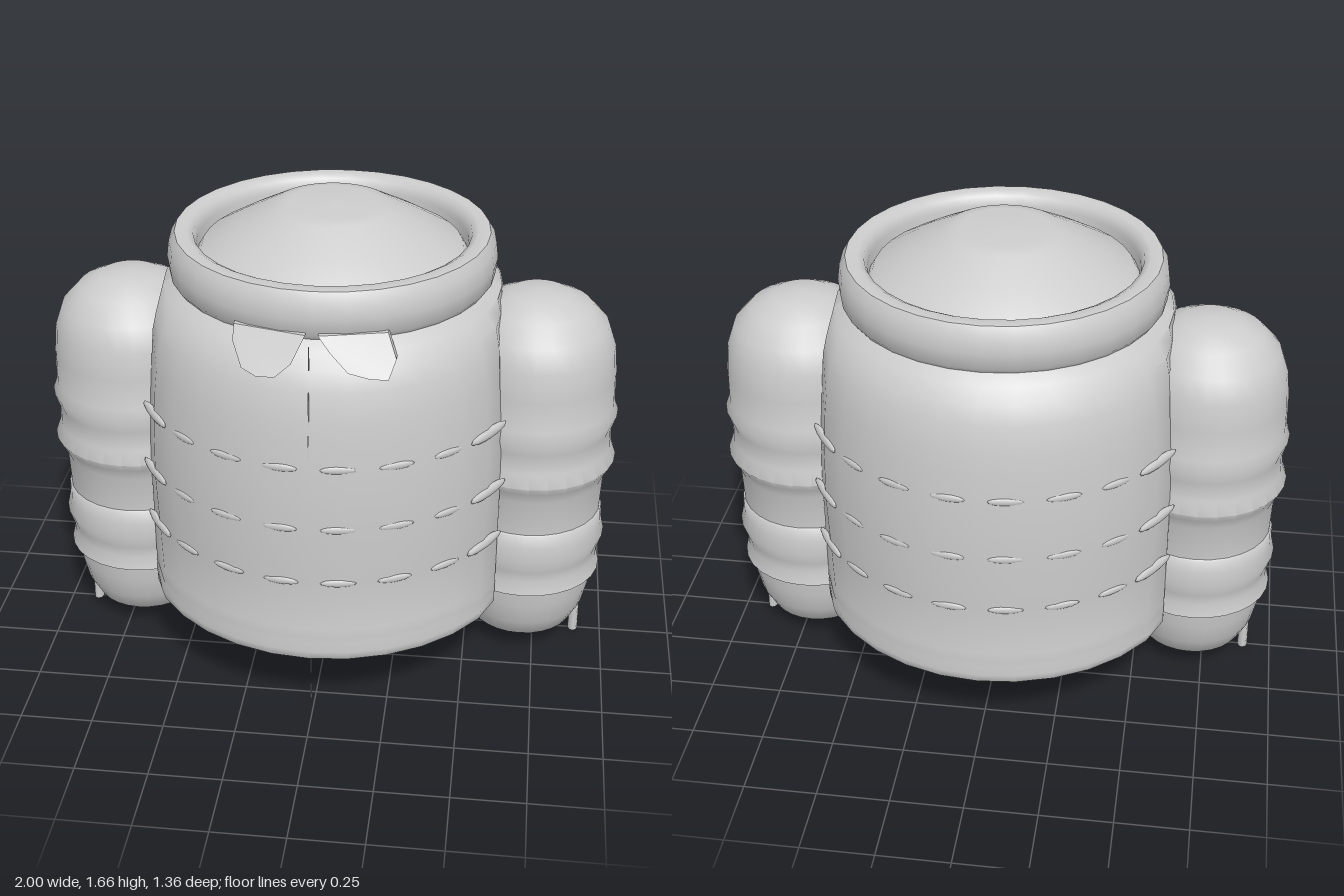
import * as THREE from 'three';
import { toCreasedNormals } from 'three/addons/utils/BufferGeometryUtils.js';

const fabric = new THREE.MeshStandardMaterial({ color: 0xcccccc });
fabric.name = 'paleGreyFabric';
fabric.side = THREE.DoubleSide;

function add(parent, name, geometry) {
  const mesh = new THREE.Mesh(geometry, fabric);
  mesh.name = name;
  parent.add(mesh);
  return mesh;
}

const lathe = (profile, sides) =>
  new THREE.LatheGeometry(profile.map(([r, y]) => new THREE.Vector2(r, y)), sides);

// Moves every vertex of a geometry by a rule
function bend(geometry, rule) {
  const p = geometry.attributes.position;
  const v = new THREE.Vector3();
  for (let i = 0; i < p.count; i++) {
    rule(v.fromBufferAttribute(p, i));
    p.setXYZ(i, v.x, v.y, v.z);
  }
  return toCreasedNormals(geometry, 0.7);
}

// Sides of the torso are flattened where the sleeves join
const sideLimit = (y) => 0.605 - (THREE.MathUtils.clamp(y, 0.9, 1.3) - 0.9) * 0.07;
const flatten = (v) => { v.x = THREE.MathUtils.clamp(v.x, -sideLimit(v.y), sideLimit(v.y)); };

function makeTorso() {
  const torso = new THREE.Group();
  torso.name = 'torso';
  add(torso, 'body', bend(lathe([
    [0.595, 0.315], [0.61, 0.272], [0.64, 0.272], [0.668, 0.292], [0.677, 0.325], [0.668, 0.355],
    [0.673, 0.38], [0.666, 0.41], [0.672, 0.6], [0.68, 0.8], [0.675, 0.98], [0.665, 1.12],
    [0.655, 1.2], [0.638, 1.29], [0.612, 1.35], [0.575, 1.4], [0.525, 1.435]], 32), flatten));
  const floor = new THREE.CircleGeometry(0.605, 32).rotateX(Math.PI / 2).translate(0, 0.305, 0);
  add(torso, 'bottomPanel', bend(floor, flatten));

  // Broken quilting ridges, longest and fullest beside the sleeves
  const count = 22;
  for (const [y, r] of [[0.6, 0.668], [0.81, 0.674], [1.03, 0.666]]) {
    for (let i = 0; i < count; i++) {
      const a = ((i + 0.5) / count) * Math.PI * 2;
      const facing = Math.abs(Math.cos(a));
      if (facing < 0.42) continue;
      const full = facing < 0.7;
      const ridge = add(torso, 'quiltRidge', new THREE.SphereGeometry(1, 12, 8));
      ridge.scale.set(full ? 0.1 : 0.06, full ? 0.02 : 0.014, full ? 0.014 : 0.008);
      ridge.position.set(Math.sin(a) * r, y, Math.cos(a) * r);
      ridge.rotation.y = a;
    }
  }
  return torso;
}

// Folded collar points, as seen from the front
const flaps = [
  [[-0.255, 1.455], [-0.255, 1.41], [-0.22, 1.345], [-0.17, 1.33], [-0.11, 1.335],
    [-0.06, 1.375], [-0.02, 1.455]],
  [[0.02, 1.455], [0.06, 1.41], [0.12, 1.355], [0.19, 1.335], [0.245, 1.328],
    [0.265, 1.38], [0.235, 1.455]]
];

function makeCollar() {
  const collar = new THREE.Group();
  collar.name = 'collar';
  add(collar, 'collarRing', toCreasedNormals(lathe([
    [0.5, 1.425], [0.535, 1.425], [0.55, 1.445], [0.557, 1.5], [0.55, 1.555], [0.53, 1.588],
    [0.49, 1.59], [0.468, 1.578], [0.458, 1.545], [0.455, 1.46]], 32), 0.8));
  add(collar, 'neckDome', lathe([
    [0.458, 1.5], [0.44, 1.53], [0.33, 1.595], [0.2, 1.665], [0.15, 1.675], [0, 1.68]], 36));

  // Flaps wrapped onto the chest
  for (const outline of flaps) {
    const shape = new THREE.Shape(outline.map(([x, y]) => new THREE.Vector2(x, y)));
    const flap = new THREE.ExtrudeGeometry(shape, { depth: 0.03, bevelEnabled: false });
    add(collar, 'collarFlap', bend(flap, (v) => {
      const r = 0.632 - (v.y - 1.33) * 0.6;
      v.z += Math.sqrt(r * r - v.x * v.x) - 0.018;
    }));
  }
  return collar;
}

function makeSleeve(side) {
  const sleeve = new THREE.Group();
  sleeve.name = side > 0 ? 'leftSleeve' : 'rightSleeve';
  sleeve.position.x = side * 0.703;
  // Rounded puffy tube with raised bands
  add(sleeve, 'puffySleeve', toCreasedNormals(lathe([
    [0, 0.045], [0.1, 0.06], [0.185, 0.11], [0.222, 0.18], [0.24, 0.26], [0.247, 0.32],
    [0.27, 0.33], [0.258, 0.38], [0.262, 0.42], [0.278, 0.47], [0.266, 0.52], [0.264, 0.57],
    [0.258, 0.575], [0.264, 0.71], [0.28, 0.75], [0.297, 0.78], [0.278, 0.83], [0.276, 0.9],
    [0.294, 0.955], [0.28, 0.99], [0.278, 1.1], [0.268, 1.2], [0.24, 1.28], [0.18, 1.345],
    [0.1, 1.385], [0, 1.397]], 28), 0.9));
  // Small hanging cord at the cuff
  const cord = add(sleeve, 'cuffCord', new THREE.CylinderGeometry(0.016, 0.018, 0.17, 8));
  cord.scale.z = 1.3;
  cord.position.set(side * 0.197, 0.107, 0);
  return sleeve;
}

export function createModel() {
  const model = new THREE.Group();
  model.name = 'paddedJacket';
  model.add(makeTorso(), makeCollar(), makeSleeve(1), makeSleeve(-1));

  // Broken thin zip edge down the front
  for (const [y, h, z] of [
    [1.41, 0.08, 0.638], [1.24, 0.12, 0.655], [1.11, 0.08, 0.666],
    [0.24, 0.06, 0.635], [0.13, 0.06, 0.635]
  ]) {
    add(model, 'zipEdge', new THREE.BoxGeometry(0.003, h, 0.006)).position.set(0, y, z);
  }
  return model;
}
